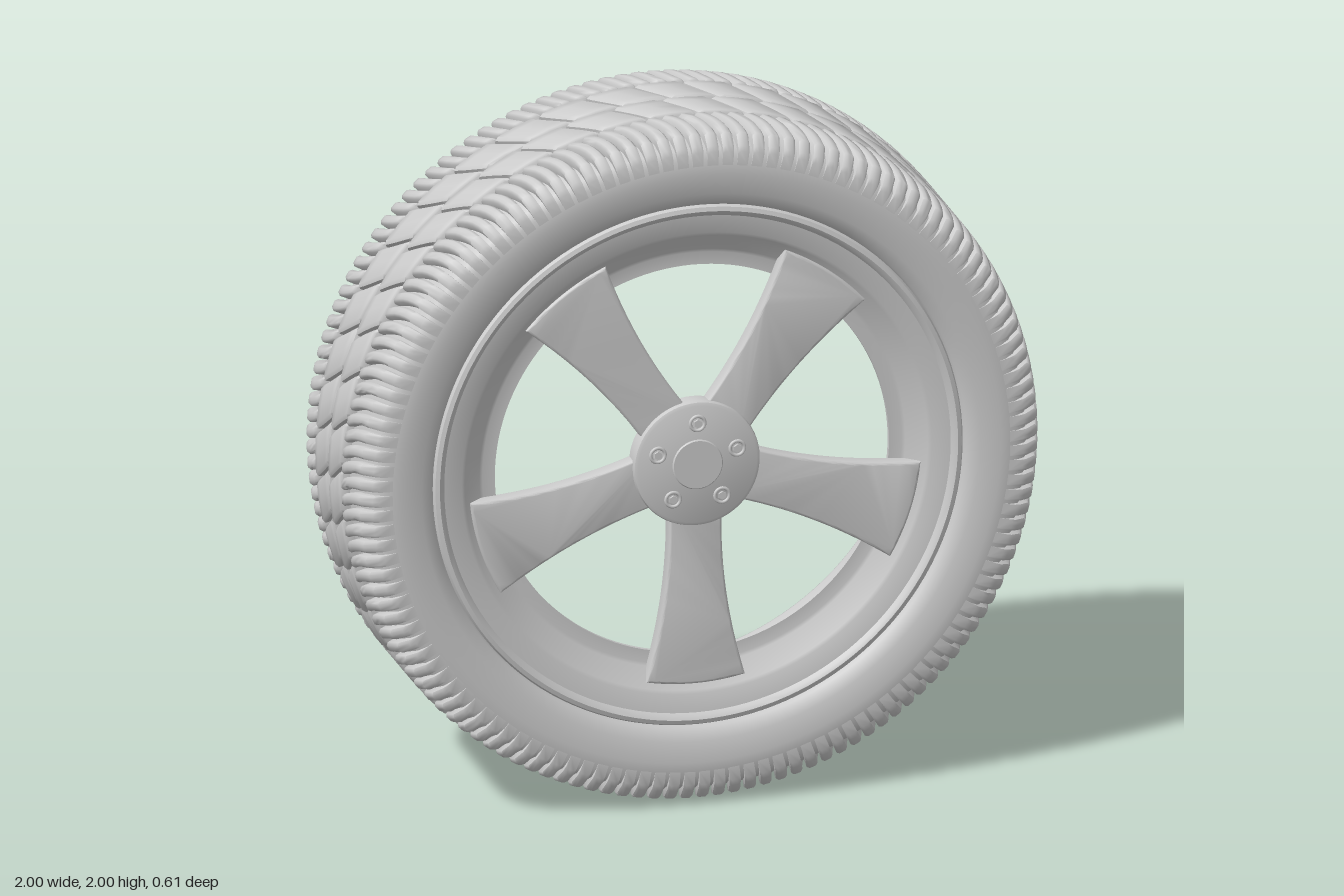
import * as THREE from 'three';
import { toCreasedNormals } from 'three/addons/utils/BufferGeometryUtils.js';

const grey = new THREE.MeshStandardMaterial({ color: 0xcccccc });
const PITCHES = 44; // pattern repeats around the tyre

function mesh(name, geometry) {
  const m = new THREE.Mesh(geometry, grey);
  m.name = name;
  return m;
}

// Revolve an (r, z) profile around the wheel axis z
function revolve(points, segments = 128) {
  return new THREE.LatheGeometry(points.map(([r, z]) => new THREE.Vector2(r, z)), segments).rotateX(Math.PI / 2);
}

// Outer radius of the tread, falling away at the shoulders
function treadRadius(z) {
  const a = Math.abs(z);
  if (a < 0.18) return 1;
  if (a < 0.28) return 1 - 0.02 * ((a - 0.18) / 0.1) ** 2;
  return 0.98 - 1.6 * (a - 0.28);
}

// S-shaped sweep of the tread pattern across the width
const sweep = z => -0.13 * Math.sin((z / 0.3) * Math.PI / 2);

// Adds one pillow-shaped block spanning z0..z1 and angles a0..a1
function addBlock(pos, idx, z0, z1, a0, a1, steps) {
  const start = pos.length / 3;
  const e = Math.min(0.012, (a1 - a0) * 0.22);
  const section = [[a0, -0.04], [a0, -0.007], [a0 + e, 0], [(a0 + a1) / 2, 0], [a1 - e, 0], [a1, -0.007], [a1, -0.04]];
  const n = section.length;
  const rows = [[z0, 0.007]];
  for (let i = 0; i <= steps; i++) rows.push([z0 + 0.006 + (z1 - z0 - 0.012) * i / steps, 0]);
  rows.push([z1, 0.007]);
  for (const [z, drop] of rows) {
    for (const [a, dr] of section) {
      const r = treadRadius(z) + dr - drop;
      const t = a + sweep(z);
      pos.push(r * Math.cos(t), r * Math.sin(t), z);
    }
  }
  for (let i = 0; i < rows.length - 1; i++) {
    for (let j = 0; j < n - 1; j++) {
      const p = start + i * n + j;
      idx.push(p, p + 1, p + n, p + 1, p + n + 1, p + n);
    }
  }
  const last = start + (rows.length - 1) * n;
  for (let j = 1; j < n - 1; j++) {
    idx.push(start, start + j + 1, start + j);
    idx.push(last, last + j, last + j + 1);
  }
}

// A row of equal blocks all the way round
function treadRow(name, z0, z1, count, phase, gap, steps) {
  const pos = [], idx = [];
  const step = Math.PI * 2 / count;
  for (let i = 0; i < count; i++) {
    const a = i * step + phase;
    addBlock(pos, idx, z0, z1, a + gap / 2, a + step - gap / 2, steps);
  }
  const g = new THREE.BufferGeometry();
  g.setAttribute('position', new THREE.Float32BufferAttribute(pos, 3));
  g.setIndex(idx);
  return mesh(name, toCreasedNormals(g, 0.9));
}

function makeTyre() {
  const tyre = new THREE.Group();
  tyre.name = 'tyre';
  // Carcass: open barrel inside, rounded sidewalls, crown under the tread
  const outer = [[0.775, -0.277], [0.81, -0.296], [0.87, -0.303], [0.915, -0.3], [0.943, -0.284], [0.962, -0.25], [0.972, -0.15]];
  tyre.add(mesh('carcass', revolve([
    [0.762, 0.2], [0.778, 0.1], [0.782, 0], [0.777, -0.1], [0.768, -0.2], [0.764, -0.25],
    ...outer,
    ...outer.map(([r, z]) => [r, -z]).reverse(),
    [0.763, 0.25], [0.762, 0.2],
  ])));
  // Two rows of wide centre blocks and narrow ribs on both shoulders
  const p = Math.PI * 2 / PITCHES;
  tyre.add(treadRow('centreTreadBack', -0.132, -0.003, PITCHES, 0, 0.014, 5));
  tyre.add(treadRow('centreTreadFront', 0.003, 0.132, PITCHES, p * 0.3, 0.014, 5));
  tyre.add(treadRow('shoulderTreadBack', -0.303, -0.138, PITCHES * 3, p * 0.15, 0.013, 6));
  tyre.add(treadRow('shoulderTreadFront', 0.138, 0.303, PITCHES * 3, p * 0.15, 0.013, 6));
  return tyre;
}

// Spoke flaring from the hub outwards, pointing down
function spokeGeometry() {
  const b = 0.008;
  const s = new THREE.Shape();
  s.moveTo(-0.068, -0.12);
  s.lineTo(-0.068, -0.2);
  s.bezierCurveTo(-0.07, -0.36, -0.095, -0.5, -0.134, -0.635);
  s.quadraticCurveTo(0, -0.662, 0.134, -0.635);
  s.bezierCurveTo(0.095, -0.5, 0.07, -0.36, 0.068, -0.2);
  s.lineTo(0.068, -0.12);
  const g = new THREE.ExtrudeGeometry(s, {
    depth: 0.034, bevelThickness: b, bevelSize: b, bevelSegments: 3, curveSegments: 16,
  });
  return toCreasedNormals(g.translate(0, 0, 0.204), 0.6);
}

function makeRim() {
  const rim = new THREE.Group();
  rim.name = 'rim';
  // Stepped rim ring with a rolled lip
  rim.add(mesh('rimRing', toCreasedNormals(revolve([
    [0.572, 0.19], [0.775, 0.19], [0.77, 0.262], [0.764, 0.274], [0.752, 0.278], [0.742, 0.272],
    [0.735, 0.262], [0.682, 0.255], [0.672, 0.25], [0.618, 0.208], [0.608, 0.205], [0.572, 0.205], [0.572, 0.19],
  ]), 0.5)));

  const spoke = spokeGeometry();
  for (let i = 0; i < 5; i++) {
    const m = mesh('spoke', spoke);
    m.rotation.z = i * Math.PI * 2 / 5;
    rim.add(m);
  }

  // Hub with a domed back and a softened front edge
  rim.add(mesh('hub', toCreasedNormals(revolve([
    [0, 0.178], [0.06, 0.18], [0.12, 0.185], [0.165, 0.193], [0.182, 0.202], [0.184, 0.25],
    [0.181, 0.259], [0.172, 0.263], [0, 0.263],
  ], 64), 0.6)));
  rim.add(mesh('centreCap', toCreasedNormals(revolve([
    [0.073, 0.255], [0.073, 0.265], [0.07, 0.268], [0, 0.268],
  ], 40), 0.5)));

  // Lug nuts: collar ring with a hexagonal nut
  const collar = new THREE.TorusGeometry(0.021, 0.005, 8, 24);
  const nut = toCreasedNormals(new THREE.CylinderGeometry(0.012, 0.013, 0.012, 6).rotateX(Math.PI / 2), 0.4);
  for (let i = 0; i < 5; i++) {
    const a = Math.PI / 2 + i * Math.PI * 2 / 5;
    const lug = new THREE.Group();
    lug.name = 'lugNut';
    lug.add(mesh('lugCollar', collar), mesh('lugBolt', nut));
    lug.position.set(0.121 * Math.cos(a), 0.121 * Math.sin(a), 0.263);
    rim.add(lug);
  }
  return rim;
}

export function createModel() {
  const wheel = new THREE.Group();
  wheel.name = 'wheel';
  wheel.add(makeTyre(), makeRim());
  wheel.position.y = 1;
  const model = new THREE.Group();
  model.name = 'carWheel';
  model.add(wheel);
  return model;
}
